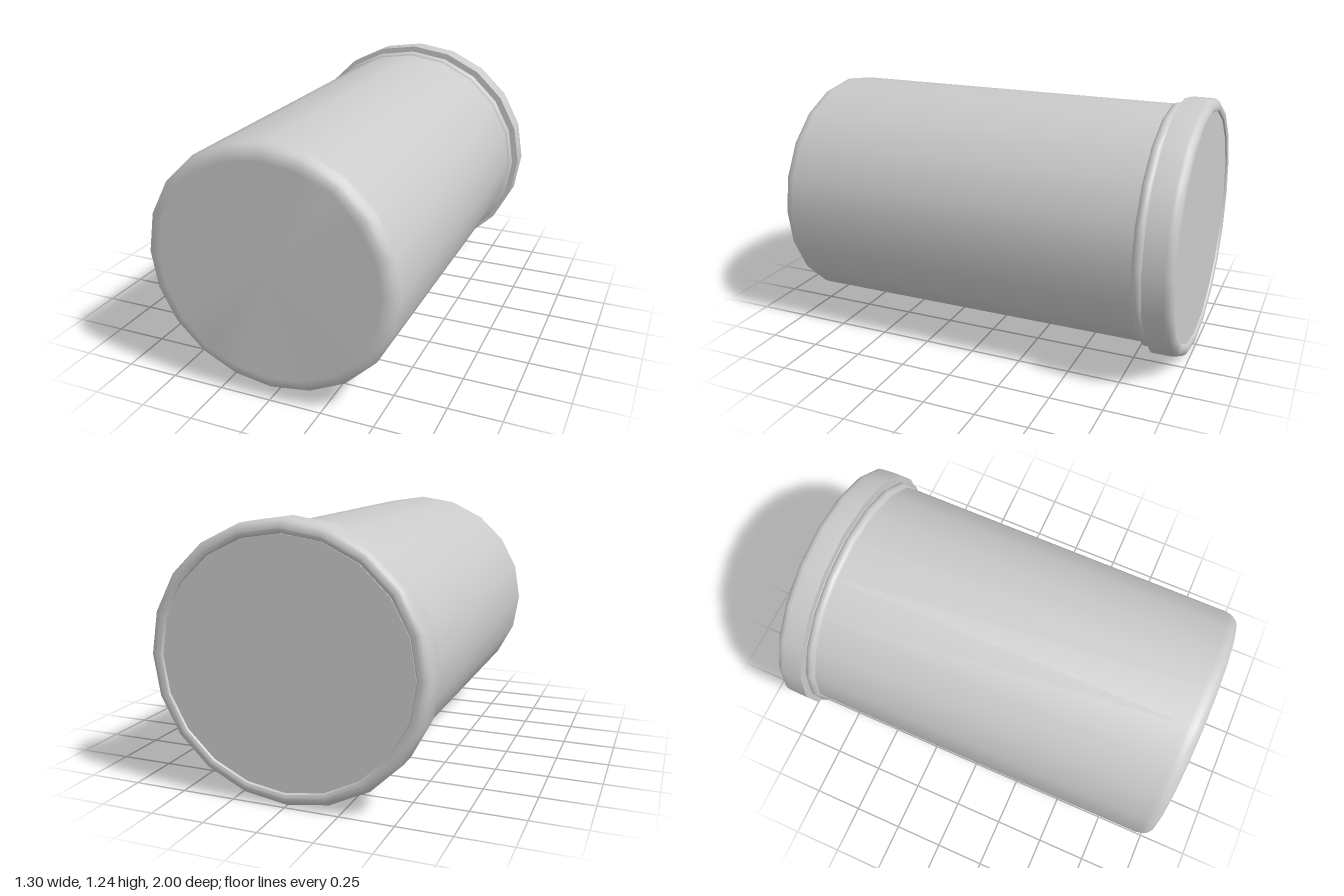
import * as THREE from 'three';
import { toCreasedNormals } from 'three/addons/utils/BufferGeometryUtils.js';

const SIDES = 20;
const SQUASH = 0.957; // the section is slightly flatter than a circle
const CENTRE_Y = 0.62;

// Quarter-round corner: points around (r, z) between two angles in degrees
function arc(r, z, radius, from, to, steps) {
  const pts = [];
  for (let i = 0; i <= steps; i++) {
    const a = THREE.MathUtils.degToRad(from + ((to - from) * i) / steps);
    pts.push([r + radius * Math.cos(a), z + radius * Math.sin(a)]);
  }
  return pts;
}

// Turned part lying along z, from a profile of [radius, z] going back to front
function turned(name, profile, material) {
  const points = profile.map(([r, z]) => new THREE.Vector2(r, z));
  const geometry = new THREE.LatheGeometry(points, SIDES);
  geometry.rotateX(Math.PI / 2);
  geometry.scale(1, SQUASH, 1);
  const mesh = new THREE.Mesh(toCreasedNormals(geometry, 0.7), material);
  mesh.name = name;
  mesh.position.y = CENTRE_Y;
  return mesh;
}

export function createModel() {
  const group = new THREE.Group();
  group.name = 'canister';
  const material = new THREE.MeshStandardMaterial({ color: 0xcccccc });

  // Long body with a rounded closed end at the front
  group.add(turned('body', [
    [0.605, -0.87],
    ...arc(0.54, 0.935, 0.065, 0, 90, 4),
    [0.53, 1],
    [0, 1],
  ], material));

  // Rounded bead around the neck
  group.add(turned('neckBead', arc(0.596, -0.831, 0.027, -90, 90, 6), material));

  // Lid: slightly sunken disc, rounded rim, straight skirt and flat underside
  group.add(turned('lid', [
    [0, -0.988],
    [0.583, -0.988],
    ...arc(0.6, -0.983, 0.017, 180, 270, 2),
    ...arc(0.608, -0.96, 0.04, -90, 0, 4),
    [0.648, -0.862],
    [0.59, -0.862],
  ], material));

  return group;
}
